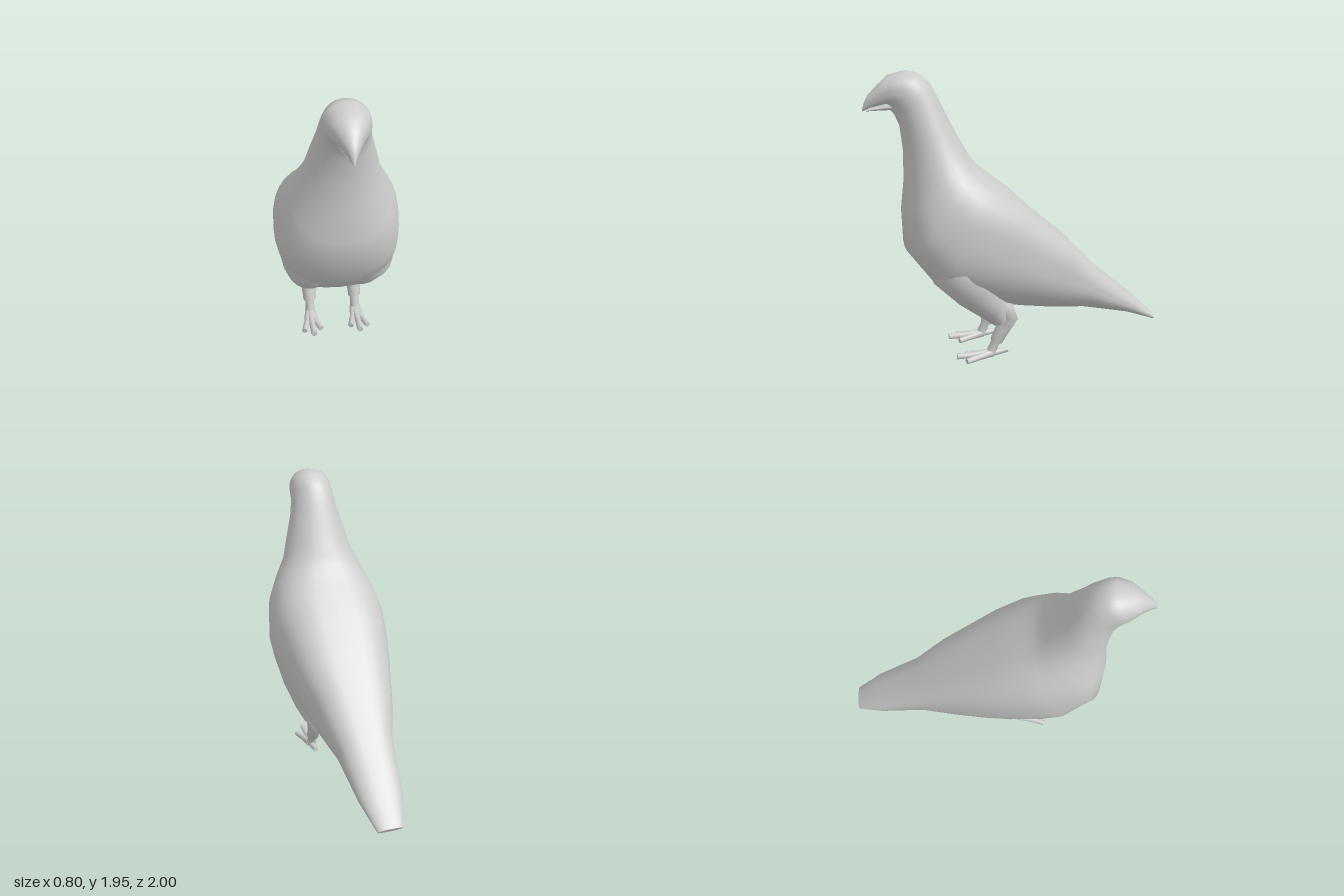
import * as THREE from 'three';

const material = new THREE.MeshStandardMaterial({ color: 0xcccccc });
const V = (x, y, z) => new THREE.Vector3(x, y, z);

// Skin a list of closed rings, with fan caps on both ends (own vertices keep the rims sharp).
function loft(name, rings) {
  const n = rings[0].length, pos = [], index = [];
  const add = (p) => pos.push(p.x, p.y, p.z) / 3 - 1;
  rings.forEach((ring) => ring.forEach(add));
  for (let i = 0; i < rings.length - 1; i++) {
    for (let j = 0; j < n; j++) {
      const a = i * n + j, b = i * n + (j + 1) % n;
      index.push(a, b, a + n, b, b + n, a + n);
    }
  }
  [rings[0], rings[rings.length - 1]].forEach((ring, end) => {
    const centre = ring.reduce((s, p) => s.add(p), V(0, 0, 0)).divideScalar(n);
    const c = add(centre), first = ring.map(add)[0];
    for (let j = 0; j < n; j++) {
      const a = first + j, b = first + (j + 1) % n;
      if (end) index.push(c, a, b); else index.push(c, b, a);
    }
  });
  const geo = new THREE.BufferGeometry();
  geo.setAttribute('position', new THREE.Float32BufferAttribute(pos, 3));
  geo.setIndex(index);
  geo.computeVertexNormals();
  const mesh = new THREE.Mesh(geo, material);
  mesh.name = name;
  return mesh;
}

// Symmetric section between a back point and a belly point; belly and back set how full each half is.
function section([tz, ty, bz, by, w, belly = 2, back = 2.1], n = 32) {
  const ring = [];
  for (let j = 0; j < n; j++) {
    const t = (j / n) * Math.PI * 2, c = Math.cos(t), s = Math.sin(t);
    const e = 2 / (c < 0 ? belly : back);
    const along = 0.5 - 0.5 * Math.sign(c) * Math.abs(c) ** e;
    const x = -w * Math.sign(s) * Math.abs(s) ** e;
    ring.push(V(x, ty + (by - ty) * along, tz + (bz - tz) * along));
  }
  return ring;
}

// Round limb through points [x, y, z, radius].
function limb(name, pts, n = 10) {
  const rings = pts.map(([x, y, z, r], i) => {
    const p = pts[Math.max(i - 1, 0)], q = pts[Math.min(i + 1, pts.length - 1)];
    const d = V(q[0] - p[0], q[1] - p[1], q[2] - p[2]).normalize();
    const v = d.clone().cross(V(1, 0, 0)).normalize();
    const u = v.clone().cross(d);
    return Array.from({ length: n }, (_, j) => {
      const t = (j / n) * Math.PI * 2;
      return V(x, y, z).addScaledVector(u, r * Math.cos(t)).addScaledVector(v, r * Math.sin(t));
    });
  });
  return loft(name, rings);
}

// One leg: thigh, shank, three front toes and a hind toe.
function leg(side) {
  const g = new THREE.Group();
  g.name = side > 0 ? 'leftLeg' : 'rightLeg';
  const X = 0.16 * side;
  g.add(limb('thigh', [
    [0.14 * side, 0.88, 0.5, 0.17],
    [0.165 * side, 0.675, 0.43, 0.2],
    [0.172 * side, 0.525, 0.327, 0.156],
    [0.17 * side, 0.378, 0.218, 0.103],
    [0.163 * side, 0.275, 0.165, 0.056],
  ], 20));
  g.add(limb('shank', [
    [X, 0.43, 0.21, 0.07],
    [X, 0.35, 0.13, 0.065],
    [X, 0.285, 0.105, 0.062],
    [X, 0.21, 0.15, 0.05],
    [X, 0.125, 0.195, 0.042],
    [X, 0.11, 0.205, 0.029],
    [X, 0.035, 0.235, 0.034],
  ]));
  // Toe tips: [x offset, height, z, radius]
  [[-0.055, 0.024, 0.4, 0.02], [0, 0.04, 0.465, 0.021], [0.06, 0.025, 0.41, 0.02], [0, 0.05, 0.115, 0.017]]
    .forEach(([dx, y, z, r], i) => {
      const x = X + dx * side;
      g.add(limb(i < 3 ? 'frontToe' : 'hindToe', [
        [X + dx * 0.15 * side, 0.042, 0.225, 0.028],
        [(X + x) / 2, (0.035 + y) / 2, (0.23 + z) / 2, 0.021],
        [x, y, z, r],
      ], 8));
    });
  return g;
}

export function createModel() {
  const model = new THREE.Group();
  model.name = 'bird';

  // Tail, body, neck and head: back z, back y, belly z, belly y, half width, belly and back fullness
  model.add(loft('body', [
    [-1.0, 0.14, -0.985, 0.11, 0.085],
    [-0.84, 0.30, -0.77, 0.19, 0.147, 2, 2.3],
    [-0.54, 0.56, -0.45, 0.26, 0.193, 2, 2.7],
    [-0.34, 0.78, -0.22, 0.285, 0.265, 2, 3],
    [-0.12, 0.97, 0.0, 0.325, 0.328, 2, 3],
    [0.03, 1.12, 0.2, 0.37, 0.37, 2.1, 2.9],
    [0.2, 1.26, 0.42, 0.46, 0.40, 2.3, 2.7],
    [0.28, 1.33, 0.58, 0.535, 0.395, 2.5, 2.5],
    [0.33, 1.39, 0.77, 0.80, 0.36, 2.6, 2.3],
    [0.36, 1.45, 0.78, 1.04, 0.305, 2.2],
    [0.40, 1.52, 0.757, 1.25, 0.243],
    [0.45, 1.62, 0.755, 1.45, 0.205],
    [0.51, 1.75, 0.772, 1.61, 0.165],
    [0.57, 1.87, 0.80, 1.68, 0.146],
    [0.65, 1.94, 0.825, 1.715, 0.142],
    [0.72, 1.955, 0.835, 1.745, 0.134, 2.4],
    [0.83, 1.93, 0.85, 1.757, 0.105, 3],
    [0.90, 1.87, 0.89, 1.747, 0.068, 3],
    [0.96, 1.81, 0.945, 1.732, 0.035, 2.6],
    [0.985, 1.765, 0.975, 1.72, 0.018],
    [1.0, 1.715, 0.995, 1.71, 0.004],
  ].map((s) => section(s))));

  // Lower half of the beak, leaving a thin mouth slit
  model.add(loft('lowerBeak', [
    [0.76, 1.775, 0.76, 1.665, 0.085],
    [0.83, 1.758, 0.83, 1.713, 0.062],
    [0.90, 1.739, 0.90, 1.712, 0.038],
    [0.975, 1.717, 0.975, 1.709, 0.008],
  ].map((s) => section(s, 14))));

  model.add(leg(1), leg(-1));
  return model;
}
